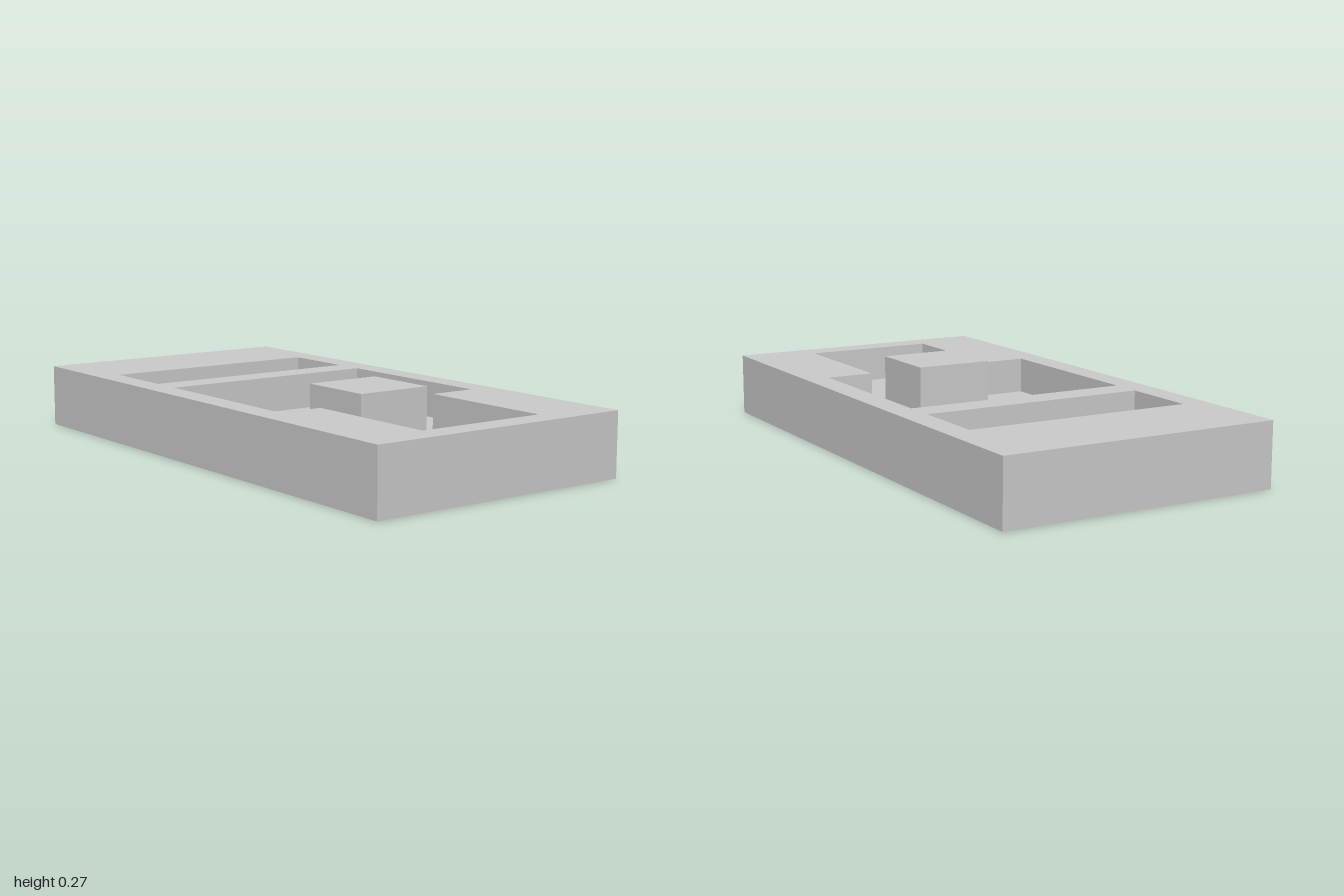
import * as THREE from 'three';

const FLOOR = 0.098; // height of the pocket floors
const TOP = 0.227; // height of the top face
const material = new THREE.MeshStandardMaterial({ color: 0xcccccc, flatShading: true });

// Box given by its minimum and maximum corners
function block(name, [x0, y0, z0], [x1, y1, z1]) {
  const geometry = new THREE.BoxGeometry(x1 - x0, y1 - y0, z1 - z0);
  geometry.translate((x0 + x1) / 2, (y0 + y1) / 2, (z0 + z1) / 2);
  const mesh = new THREE.Mesh(geometry, material);
  mesh.name = name;
  return mesh;
}

// Plan outline from [x, z] pairs
const points = (pairs) => pairs.map(([x, z]) => new THREE.Vector2(x, z));

export function createModel() {
  const group = new THREE.Group();
  group.name = 'pocketedPlate';

  // Solid slab whose top forms the pocket floors
  group.add(block('baseSlab', [-1, 0, -0.5], [1, FLOOR, 0.5]));

  // Upper layer with a rectangular slot and a stepped pocket cut through
  const plan = new THREE.Shape(points([[-1, -0.5], [1, -0.5], [1, 0.5], [-1, 0.5]]));
  const slot = [[-0.647, -0.41], [-0.37, -0.41], [-0.37, 0.41], [-0.647, 0.41]];
  const pocket = [
    [-0.26, -0.41], [0.39, -0.41], [0.39, -0.235], [0.905, -0.235],
    [0.905, 0.25], [0.39, 0.25], [0.39, 0.41], [-0.26, 0.41],
  ];
  for (const hole of [slot, pocket]) plan.holes.push(new THREE.Path(points(hole)));
  const geometry = new THREE.ExtrudeGeometry(plan, { depth: TOP - FLOOR, bevelEnabled: false });
  geometry.rotateX(Math.PI / 2).translate(0, TOP, 0);
  const layer = new THREE.Mesh(geometry, material);
  layer.name = 'pocketLayer';
  group.add(layer);

  // Raised block standing on the floor of the stepped pocket
  group.add(block('raisedBlock', [0.183, FLOOR, -0.142], [0.466, 0.272, 0.141]));

  return group;
}
